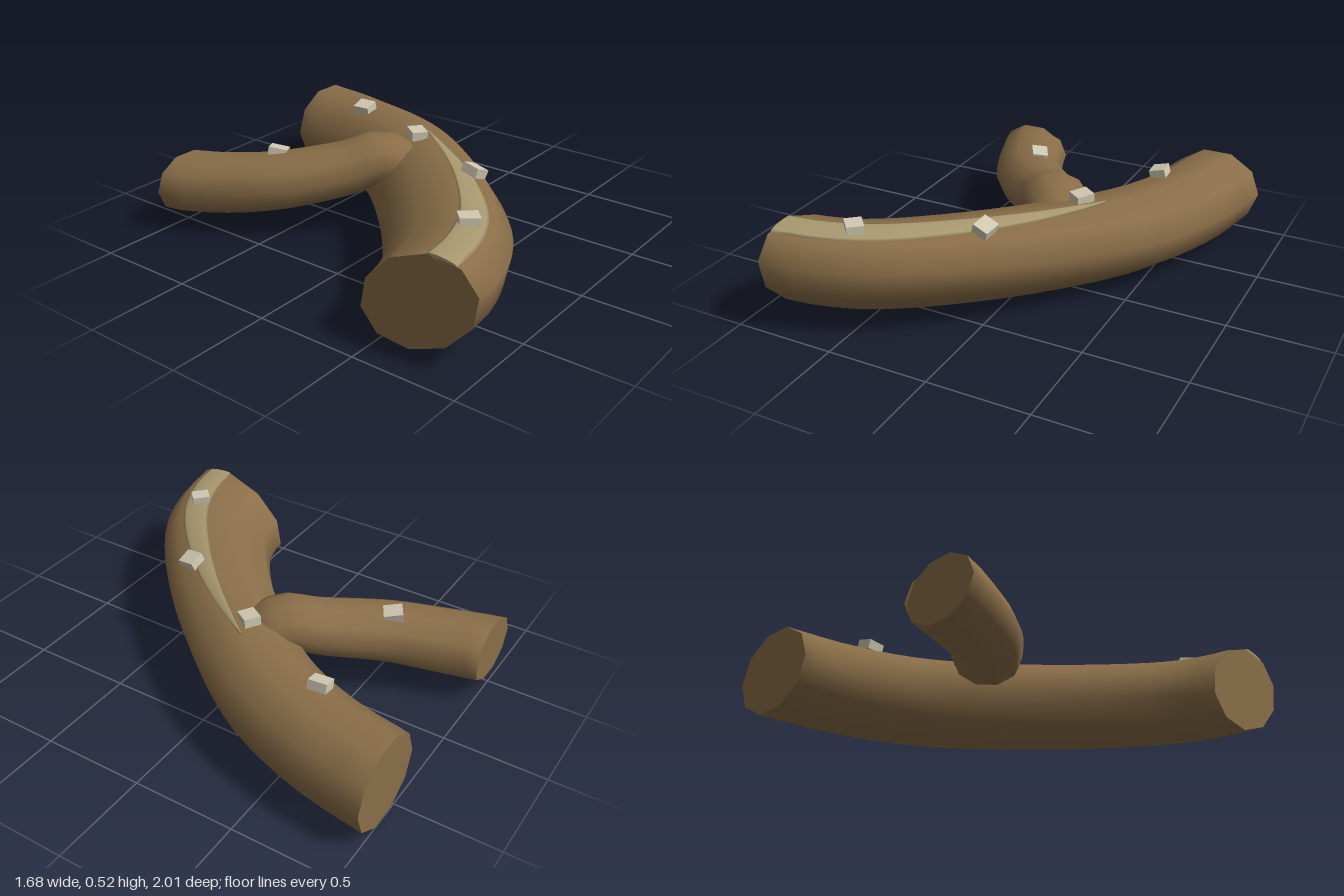
import * as THREE from 'three';

const V = (x, y, z) => new THREE.Vector3(x, y, z);
const lerp = THREE.MathUtils.lerp;

// Smooth loft along a curve; section(a, t) gives [outward, upward] offsets. Ends are flat caps.
function loft(curve, steps, sides, section, startDir, endDir, tMax = 1) {
  const pos = [], idx = [], rings = [];
  for (let i = 0; i <= steps; i++) {
    const t = (i / steps) * tMax;
    const c = curve.getPointAt(t);
    let dir = curve.getTangentAt(t);
    if (i === 0 && startDir) dir = startDir;
    if (i === steps && endDir) dir = endDir;
    const side = V(-dir.z, 0, dir.x).normalize();
    const up = V().crossVectors(side, dir).normalize();
    const ring = [];
    for (let j = 0; j < sides; j++) {
      const [u, v] = section((j / sides) * Math.PI * 2, t);
      const p = c.clone().addScaledVector(side, u).addScaledVector(up, v);
      ring.push(p);
      pos.push(p.x, p.y, p.z);
    }
    rings.push(ring);
  }
  for (let i = 0; i < steps; i++) {
    for (let j = 0; j < sides; j++) {
      const a = i * sides + j, b = i * sides + (j + 1) % sides;
      idx.push(a, a + sides, b, b, a + sides, b + sides);
    }
  }
  // caps have their own vertices so their rims stay sharp
  [[rings[0], false], [rings[steps], true]].forEach(([ring, last]) => {
    const base = pos.length / 3;
    ring.forEach((p) => pos.push(p.x, p.y, p.z));
    for (let j = 1; j < sides - 1; j++) {
      if (last) idx.push(base, base + j + 1, base + j);
      else idx.push(base, base + j, base + j + 1);
    }
  });
  const g = new THREE.BufferGeometry();
  g.setAttribute('position', new THREE.Float32BufferAttribute(pos, 3));
  // choose outward winding from the signed volume
  let vol = 0;
  const P = (k) => V(pos[k * 3], pos[k * 3 + 1], pos[k * 3 + 2]);
  for (let k = 0; k < idx.length; k += 3) vol += P(idx[k]).dot(P(idx[k + 1]).cross(P(idx[k + 2])));
  if (vol < 0) idx.reverse();
  g.setIndex(idx);
  g.computeVertexNormals();
  return g;
}

// trunk cross-section: an ellipse leaning outward at the start, upright at the end
function trunkSection(a, t) {
  const p = a + lerp(0.17, 0, t), lean = lerp(0.35, 0, t);
  return [Math.cos(p) * lerp(0.293, 0.24, t), Math.sin(p + lean) * lerp(0.235, 0.21, t)];
}

export function createModel() {
  const group = new THREE.Group();
  const mat = (name, color) => {
    const m = new THREE.MeshStandardMaterial({ color });
    m.name = name;
    return m;
  };
  const bark = mat('bark brown', 0x8a6e48);
  const pale = mat('pale ridge tan', 0xa8986f);
  const stone = mat('chip grey', 0xd0c8b2);

  const add = (name, geometry, material) => {
    const m = new THREE.Mesh(geometry, material);
    m.name = name;
    group.add(m);
    return m;
  };

  // main curved trunk
  const trunkPath = new THREE.CatmullRomCurve3([
    V(-0.845, 0.247, 0.71), V(-0.71, 0.246, 0.688), V(-0.5, 0.243, 0.605), V(-0.18, 0.235, 0.36),
    V(0.12, 0.222, 0.05), V(0.38, 0.21, -0.3), V(0.53, 0.204, -0.66), V(0.6, 0.2, -1),
  ]);
  const alongX = V(1, 0, 0), alongBack = V(0, 0, -1);
  add('trunk', loft(trunkPath, 24, 10, trunkSection, alongX, alongBack), bark);

  // pale ridge lying on one upper facet of the trunk, tapering to a point
  const facet = Math.PI / 5, ridgeEnd = 0.61;
  add('paleRidge', loft(trunkPath, 24, 10, (a, t) => {
    const A = trunkSection(2 * facet, t), B = trunkSection(facet, t);
    const s = t / ridgeEnd;
    const k = lerp(0.88, 0.04, s * s) * (1 - Math.cos(a)) / 2;
    return [lerp(A[0], B[0], k), lerp(A[1], B[1], k) + 0.003 + Math.sin(a) * lerp(0.011, 0.005, s)];
  }, alongX, null, ridgeEnd), pale);

  // side branch, flattening and dipping into the trunk
  const branchPath = new THREE.CatmullRomCurve3([
    V(0.14, 0.29, -0.07), V(0.06, 0.362, -0.155), V(-0.07, 0.31, -0.29),
    V(-0.29, 0.25, -0.55), V(-0.41, 0.215, -0.79), V(-0.49, 0.2, -1),
  ]);
  add('branch', loft(branchPath, 20, 10, (a, t) => [
    Math.cos(a) * lerp(0.155, 0.19, t), Math.sin(a) * lerp(0.108, 0.153, Math.sqrt(t)),
  ], null, alongBack), bark);

  // small chips: position, then tilt x, yaw, tilt z
  [
    [-0.515, 0.488, 0.725, 0.05, 0.75, -0.05],
    [-0.02, 0.46, 0.425, 0.15, -0.15, -0.35],
    [0.225, 0.45, -0.08, 0.08, -0.6, 0],
    [0.43, 0.422, -0.58, 0, 0.08, 0.25],
    [-0.25, 0.385, -0.58, 0.2, 0.5, -0.25],
  ].forEach(([x, y, z, rx, ry, rz], i) => {
    const chip = add('chip' + (i + 1), new THREE.BoxGeometry(0.08, 0.045, 0.09), stone);
    chip.position.set(x, y, z);
    chip.rotation.set(rx, ry, rz);
  });
  return group;
}
